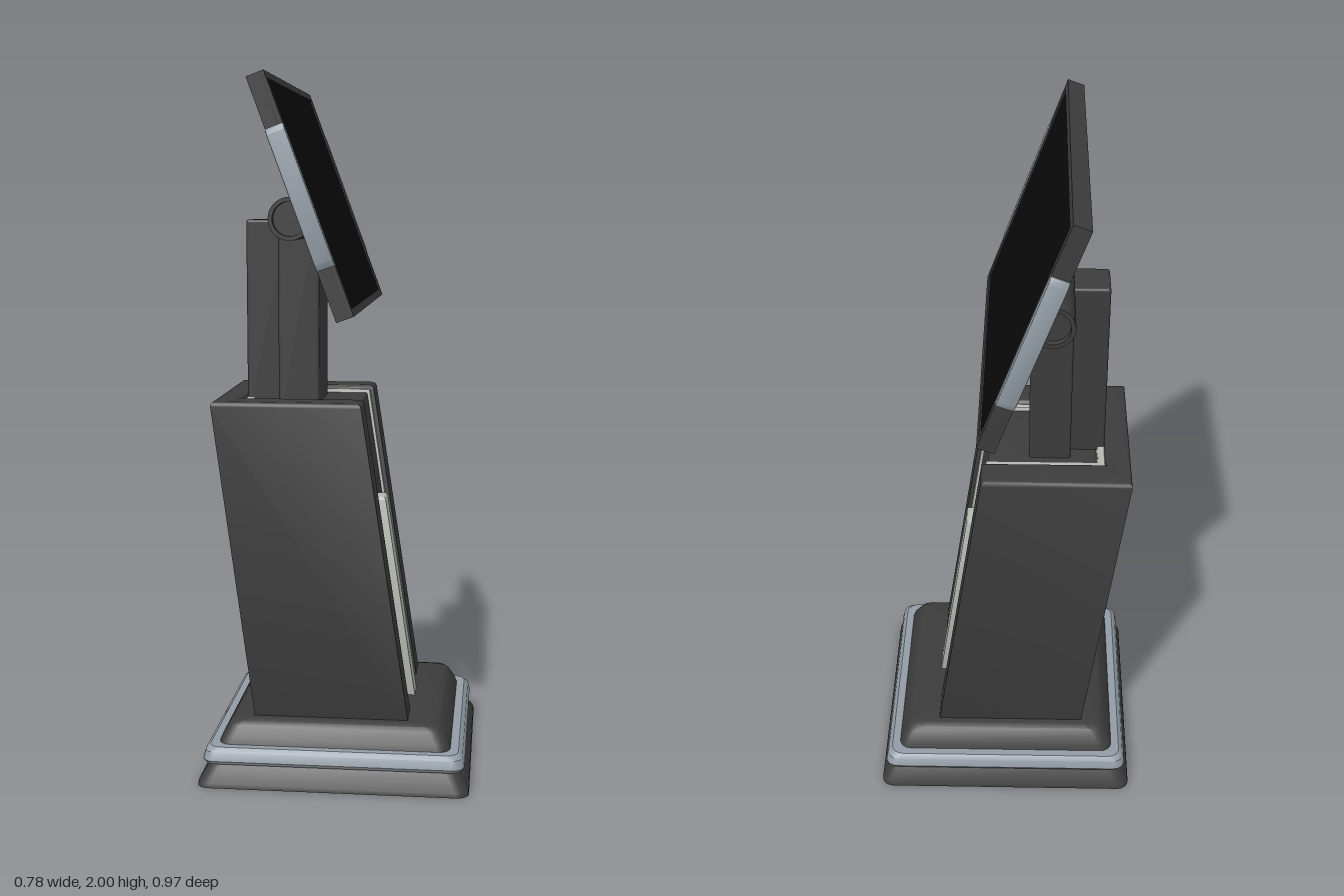
import * as THREE from 'three';
import { toCreasedNormals } from 'three/addons/utils/BufferGeometryUtils.js';
import { RoundedBoxGeometry } from 'three/addons/geometries/RoundedBoxGeometry.js';

const mat = (name, color, side = THREE.FrontSide) => {
  const m = new THREE.MeshStandardMaterial({ color, side });
  m.name = name;
  return m;
};

export function createModel() {
  const dark = mat('charcoal', 0x3c3c3c, THREE.DoubleSide);
  const trim = mat('blueGrey', 0x929ca5, THREE.DoubleSide);
  const pale = mat('paleGrey', 0xb4bab2);
  const black = mat('screenBlack', 0x0a0a0a);

  const model = new THREE.Group();
  model.name = 'kiosk';
  const add = (name, geo, material, parent = model) => {
    const mesh = new THREE.Mesh(geo, material);
    mesh.name = name;
    parent.add(mesh);
    return mesh;
  };

  // Rounded-square shell through [halfWidth, y] rings, open at both ends
  const shell = (profile, radius = 0.035, seg = 4) => {
    const pos = [], idx = [], n = 4 * (seg + 1);
    for (const [half, y] of profile) {
      for (let c = 0; c < 4; c++) {
        for (let s = 0; s <= seg; s++) {
          const a = (c + s / seg) * Math.PI / 2;
          const sx = c === 0 || c === 3 ? 1 : -1, sz = c < 2 ? 1 : -1;
          pos.push(sx * (half - radius) + radius * Math.cos(a), y, sz * (half - radius) + radius * Math.sin(a));
        }
      }
    }
    for (let r = 0; r < profile.length - 1; r++) {
      for (let i = 0; i < n; i++) {
        const a = r * n + i, b = r * n + (i + 1) % n;
        idx.push(a, a + n, b, b, a + n, b + n);
      }
    }
    const g = new THREE.BufferGeometry();
    g.setAttribute('position', new THREE.Float32BufferAttribute(pos, 3));
    g.setIndex(idx);
    return toCreasedNormals(g, 0.6);
  };

  // Hollow stepped base
  add('baseSkirt', shell([[0.39, 0], [0.388, 0.012], [0.355, 0.066]]), dark);
  add('baseTrim', shell([[0.345, 0.065], [0.37, 0.065], [0.376, 0.075], [0.37, 0.1], [0.358, 0.112], [0.33, 0.112]]), trim);
  add('baseTop', shell([[0.335, 0.11], [0.328, 0.13], [0.31, 0.162], [0.3, 0.173], [0.28, 0.178], [0.19, 0.178]]), dark);

  // Upright prism from an x/z outline, leaning backward as it rises
  const leaning = (points, y0, y1, bevel) => {
    const shape = new THREE.Shape(points.map(([x, z]) => new THREE.Vector2(x, z)));
    const g = new THREE.ExtrudeGeometry(shape, {
      depth: y1 - y0 - 2 * bevel, bevelEnabled: true, bevelSize: bevel,
      bevelThickness: bevel, bevelOffset: -bevel, bevelSegments: 3,
    });
    g.rotateX(-Math.PI / 2).translate(0, y0 + bevel, 0);
    const p = g.attributes.position;
    for (let i = 0; i < p.count; i++) {
      const x = p.getX(i), t = (p.getY(i) - 0.175) / 0.925;
      p.setX(i, x + (1 - t) * (0.122 + 0.018 * (x + 0.36) / 0.43));
    }
    return toCreasedNormals(g, 0.6);
  };
  // U outline, open toward +x
  const channel = (back, front, outer, wall, backWall) => [
    [back, -outer], [front, -outer], [front, wall - outer], [back + backWall, wall - outer],
    [back + backWall, outer - wall], [front, outer - wall], [front, outer], [back, outer],
  ];
  const block = (x0, x1, z) => [[x0, -z], [x1, -z], [x1, z], [x0, z]];

  // Pedestal: outer casing, pale liner, core and front strip
  add('casing', leaning(channel(-0.36, 0.07, 0.265, 0.103, 0.075), 0.165, 1.1, 0.014), dark);
  add('liner', leaning(channel(-0.286, 0.058, 0.163, 0.022, 0.022), 0.165, 1.09, 0.003), pale);
  add('core', leaning(block(-0.265, 0.05, 0.142), 0.165, 1.08, 0.004), dark);
  add('frontStrip', leaning(block(0.03, 0.077, 0.039), 0.165, 0.79, 0.01), pale);

  // Neck: wide front column and narrower rear column
  add('neckFront', new RoundedBoxGeometry(0.12, 0.56, 0.216, 3, 0.008), dark).position.set(-0.125, 1.33, 0);
  add('neckBack', new RoundedBoxGeometry(0.13, 0.56, 0.126, 3, 0.008), dark).position.set(-0.22, 1.33, 0);

  // Hinge tube with recessed ends
  const hingeProfile = [[0, -0.27], [0.048, -0.27], [0.048, -0.29], [0.06, -0.29], [0.06, 0.29], [0.048, 0.29], [0.048, 0.27], [0, 0.27]];
  const hinge = new THREE.LatheGeometry(hingeProfile.map(([r, y]) => new THREE.Vector2(r, y)), 32);
  add('hinge', toCreasedNormals(hinge.rotateX(Math.PI / 2), 0.6), dark).position.set(-0.125, 1.615, 0);

  // Tilted monitor, facing local +x
  const monitor = new THREE.Group();
  monitor.name = 'monitor';
  monitor.position.set(-0.0695, 1.6725, 0);
  monitor.rotation.z = 0.354;
  model.add(monitor);

  const rect = (Type, w, h) => new Type([[-w, -h], [w, -h], [w, h], [-w, h]].map(([x, y]) => new THREE.Vector2(x, y)));
  const bezel = rect(THREE.Shape, 0.472, 0.341);
  bezel.holes.push(rect(THREE.Path, 0.446, 0.32));
  const bezelGeo = new THREE.ExtrudeGeometry(bezel, { depth: 0.01, bevelEnabled: false });
  add('bezel', bezelGeo.rotateY(Math.PI / 2).translate(0.015, 0, 0), dark, monitor);
  add('monitorBack', new THREE.BoxGeometry(0.04, 0.682, 0.944), dark, monitor).position.x = -0.005;
  add('display', new THREE.BoxGeometry(0.006, 0.64, 0.892), black, monitor).position.x = 0.018;

  // Side grips with chamfered ends
  const grip = new THREE.Shape([[0.46, -0.197], [0.476, -0.197], [0.485, -0.18], [0.485, 0.18], [0.476, 0.197], [0.46, 0.197]]
    .map(([x, y]) => new THREE.Vector2(x, y)));
  for (const side of [0, 1]) {
    const g = new THREE.ExtrudeGeometry(grip, {
      depth: 0.044, bevelEnabled: true, bevelSize: 0.004, bevelThickness: 0.004, bevelOffset: -0.004, bevelSegments: 2,
    });
    g.translate(0, 0, -0.022).rotateY(Math.PI / 2 + side * Math.PI);
    add(side ? 'leftGrip' : 'rightGrip', toCreasedNormals(g, 0.6), trim, monitor);
  }
  return model;
}
